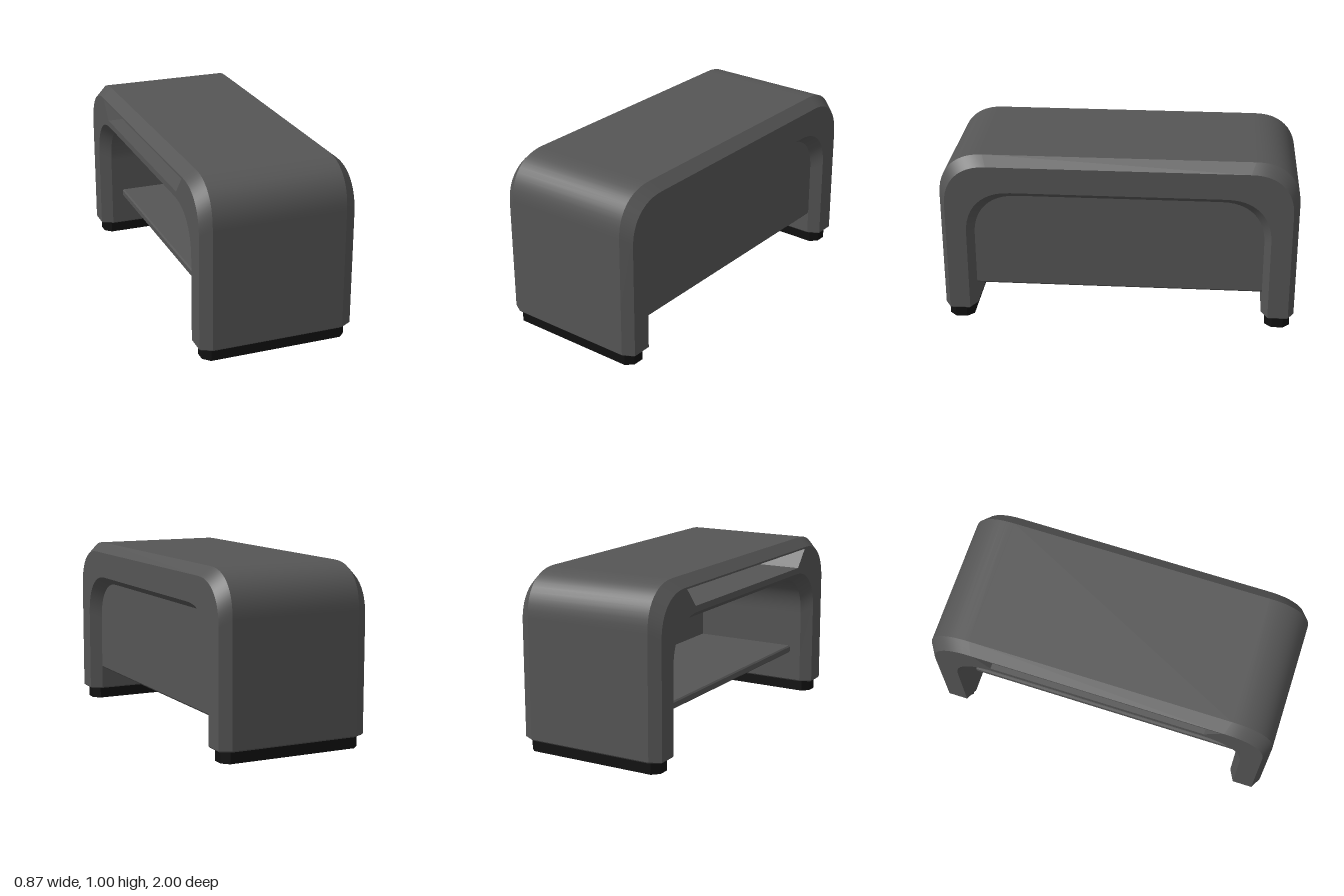
import * as THREE from 'three';

const bodyMat = new THREE.MeshStandardMaterial({ color: 0x555555 });
const cavityMat = new THREE.MeshStandardMaterial({ color: 0x555555, side: THREE.DoubleSide });
const footMat = new THREE.MeshStandardMaterial({ color: 0x111111 });

const STEPS = 12;
const FULLNESS = 2 / 2.3; // corners slightly squarer than a circle

// Upside-down U in the z-y plane, from the front foot over the top to the back foot
function archOutline(half, top, radius, bottom) {
  const quarter = [];
  for (let i = 0; i <= STEPS; i++) {
    const a = (i / STEPS) * Math.PI / 2;
    const c = Math.max(0, Math.cos(a)) ** FULLNESS;
    const s = Math.sin(a) ** FULLNESS;
    quarter.push([half - radius + radius * c, top - radius + radius * s]);
  }
  const front = [[half, bottom], ...quarter];
  return [...front, ...front.map(([z, y]) => [-z, y]).reverse()];
}

const ringAt = (outline, x) => outline.map(([z, y]) => new THREE.Vector3(x, y, z));

// Surface between two point rows of equal length
function strip(a, b, flat = false) {
  const index = [];
  for (let i = 0; i < a.length - 1; i++) {
    const n = a.length + i;
    index.push(i, n, n + 1, i, n + 1, i + 1);
  }
  let g = new THREE.BufferGeometry().setFromPoints([...a, ...b]);
  g.setIndex(index);
  if (flat) g = g.toNonIndexed();
  g.computeVertexNormals();
  return g;
}

function add(group, name, geometry, material = bodyMat) {
  const mesh = new THREE.Mesh(geometry, material);
  mesh.name = name;
  group.add(mesh);
}

const toShape = (pts) => new THREE.Shape(pts.map(([u, v]) => new THREE.Vector2(u, v)));
const extrude = (pts, depth) => new THREE.ExtrudeGeometry(toShape(pts), { depth, bevelEnabled: false });

// Rectangle with clipped corners
const clippedRect = (x0, x1, y0, y1, c) => [[x0 + c, y0], [x1 - c, y0], [x1, y0 + c], [x1, y1 - c],
  [x1 - c, y1], [x0 + c, y1], [x0, y1 - c], [x0, y0 + c]];

export function createModel() {
  const model = new THREE.Group();
  model.name = 'desk';
  const legBottom = 0.073;

  // Arched body: outer surface, bevels, side face and inner surface
  const outer = archOutline(1, 1, 0.25, legBottom);
  const outerEdge = archOutline(0.965, 0.95, 0.24, legBottom);
  const innerEdge = archOutline(0.85, 0.8, 0.26, legBottom);
  const inner = archOutline(0.815, 0.755, 0.25, legBottom);
  const rings = [
    ringAt(outer, -0.375), ringAt(outer, 0.375), ringAt(outerEdge, 0.437), ringAt(innerEdge, 0.437),
    ringAt(inner, 0.37), ringAt(inner, -0.37), ringAt(innerEdge, -0.437), ringAt(outerEdge, -0.437),
  ];
  const names = ['outerShell', 'leftOuterBevel', 'leftFace', 'leftInnerBevel',
    'innerShell', 'rightInnerBevel', null, 'rightOuterBevel'];
  const body = new THREE.Group();
  body.name = 'archedBody';
  names.forEach((name, i) => {
    if (name) add(body, name, strip(rings[i], rings[(i + 1) % 8]));
  });

  // Right face with the opening of the storage slot
  const slot = [[-0.62, 0.835], [0.62, 0.835], [0.71, 0.94], [-0.71, 0.94]];
  const rightShape = toShape([...outerEdge, ...innerEdge.slice().reverse()]);
  rightShape.holes.push(new THREE.Path(slot.map(([u, v]) => new THREE.Vector2(u, v))));
  add(body, 'rightFace', new THREE.ShapeGeometry(rightShape).rotateY(-Math.PI / 2).translate(-0.437, 0, 0));

  // Bevelled undersides of the two legs
  for (const s of [1, -1]) {
    const loop = rings.map((r) => r[s > 0 ? 0 : r.length - 1]);
    loop.push(loop[0]);
    if (s < 0) loop.reverse();
    const cz = s * 0.908;
    const low = loop.map((p) => new THREE.Vector3(p.x * 0.98, 0.065, cz + (p.z - cz) * 0.91));
    const centre = low.map(() => new THREE.Vector3(0, 0.065, cz));
    add(body, 'legBottomBevel', strip(low, loop, true).scale(1, 1, 1));
    add(body, 'legUnderside', strip(low, centre, true));
    body.children.slice(-2)[0].geometry = strip(loop, low, true);
  }
  model.add(body);

  // Storage slot cavity
  const cavity = new THREE.Group();
  cavity.name = 'storageSlot';
  const closed = [...slot, slot[0]];
  add(cavity, 'slotWalls', strip(ringAt(closed, -0.437), ringAt(closed, 0.3), true), cavityMat);
  add(cavity, 'slotBack', new THREE.ShapeGeometry(toShape(slot)).rotateY(-Math.PI / 2).translate(0.3, 0, 0), cavityMat);
  model.add(cavity);

  // Panel closing the left side, with a chamfered lower rail
  add(model, 'sidePanel', extrude(archOutline(0.815, 0.755, 0.25, 0.21), 0.035)
    .rotateY(-Math.PI / 2).translate(0.37, 0, 0));
  add(model, 'panelLowerRail', extrude([[0.343, 0.2], [0.362, 0.2], [0.37, 0.21], [0.335, 0.21]], 1.63)
    .translate(0, 0, -0.815));

  // Low shelf with chamfered long edges
  add(model, 'shelf', extrude(clippedRect(-0.3, 0.35, 0.247, 0.292, 0.008), 1.63).translate(0, 0, -0.815));

  // Feet with clipped corners
  for (const s of [1, -1]) {
    add(model, s > 0 ? 'frontFoot' : 'backFoot', extrude(clippedRect(-0.413, 0.413, -0.07, 0.07, 0.038), 0.066)
      .rotateX(-Math.PI / 2).translate(0, 0, s * 0.908), footMat);
  }
  return model;
}
